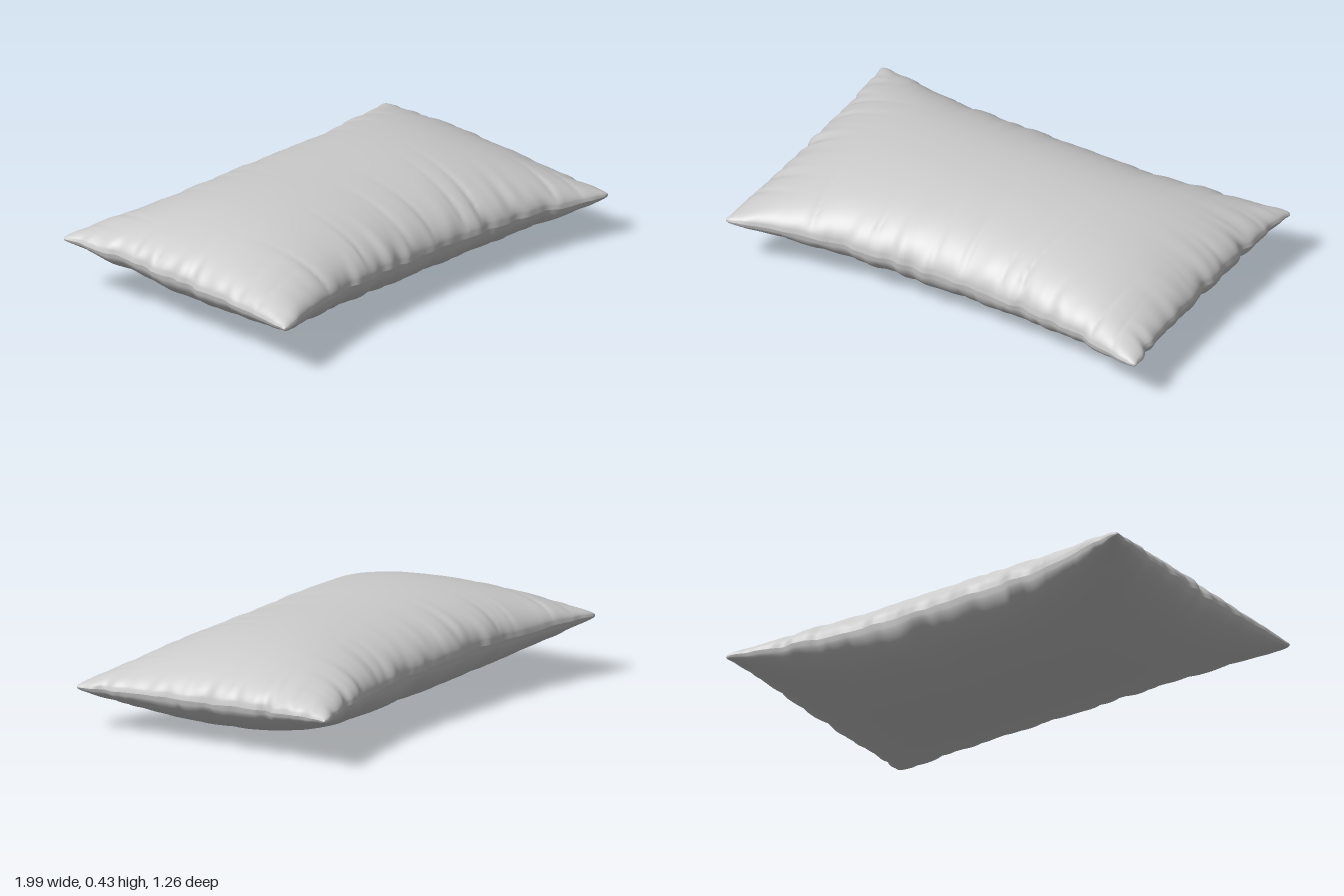
import * as THREE from 'three';

const NX = 190, NZ = 130;

// Seeded smooth 1D noise in [-1, 1]
function hash(i, seed) {
  const s = Math.sin(i * 127.1 + seed * 311.7) * 43758.5453;
  return (s - Math.floor(s)) * 2 - 1;
}
function noise(t, seed) {
  const i = Math.floor(t), f = t - i, k = f * f * (3 - 2 * f);
  return hash(i, seed) * (1 - k) + hash(i + 1, seed) * k;
}

// Gathers that run inward from one edge; d = distance from the edge, t = position along it
function gathers(t, d, seed) {
  const drift = t + 0.2 * d * noise(t * 3, seed + 5);
  const fine = noise(drift * 22, seed) * Math.exp(-d / 0.07);
  const crease = Math.pow(1 - Math.abs(noise(drift * 10, seed + 1)), 4);
  const reach = 0.08 + 0.04 * noise(t * 5, seed + 2);
  return 0.1 * fine + (0.05 - 0.2 * crease) * Math.exp(-d / reach);
}

// Crowd the grid lines toward the edges, where the cloth curves most
const crowd = s => 0.35 * s + 0.65 * Math.sin(s * Math.PI / 2);
const bulge = (u, p, q) => Math.pow(Math.max(0, 1 - Math.pow(Math.abs(u), p)), q);

// One side of the cushion: side = 1 for the top, -1 for the bottom
function clothPoint(u, v, side) {
  const au = Math.abs(u), av = Math.abs(v);
  const su = u < 0 ? 1 : 2, sv = v < 0 ? 3 : 4;

  // Outline: edges bowed inward, corners drawn out and slightly rounded
  const round = 0.03 * Math.pow(au * av, 24);
  let halfX = 0.96 + 0.055 * Math.pow(av, 4) - round;
  let halfZ = 0.513 + 0.143 * Math.pow(au, 2.8) - round;
  // Puckered seam
  halfX += 0.012 * noise(v * 13, su) * Math.pow(au, 8) * (1 - av ** 8);
  halfZ += 0.010 * noise(u * 19, sv) * Math.pow(av, 8) * (1 - au ** 8);
  const x = u * halfX, z = v * halfZ;

  // Stuffing height with gathers along all four edges
  const dx = (1 - au) * halfX, dz = (1 - av) * halfZ;
  const seed = 20 + side * 10;
  const fold = gathers(z, dx, seed + su) * (1 - av ** 6)
    + gathers(x, dz, seed + sv) * (1 - au ** 6);
  const h = 0.213 * bulge(u, 3, 0.53) * bulge(v, 2.1, 0.5) * (1 + fold);

  // The whole cushion rests slightly tilted
  const wave = 0.004 * (noise(x * 9, sv) * av ** 8 + noise(z * 9, su) * au ** 8);
  return [x, 0.211 - 0.02 * x - 0.03 * z + wave + side * h, z];
}

function clothSide(side) {
  const geo = new THREE.PlaneGeometry(2, 2, NX, NZ).rotateX(-Math.PI / 2);
  const pos = geo.attributes.position;
  for (let i = 0; i < pos.count; i++) {
    pos.setXYZ(i, ...clothPoint(crowd(pos.getX(i)), crowd(pos.getZ(i)), side));
  }
  // The bottom faces down, so its triangles are reversed
  if (side < 0) geo.index.array.reverse();
  geo.computeVertexNormals();
  return geo;
}

export function createModel() {
  const group = new THREE.Group();
  group.name = 'pillow';
  const material = new THREE.MeshStandardMaterial({ color: 0xcccccc });
  for (const [name, side] of [['topCloth', 1], ['bottomCloth', -1]]) {
    const mesh = new THREE.Mesh(clothSide(side), material);
    mesh.name = name;
    group.add(mesh);
  }

  // Centre the cushion and set it on the ground
  const box = new THREE.Box3().setFromObject(group);
  const c = box.getCenter(new THREE.Vector3());
  for (const mesh of group.children) mesh.geometry.translate(-c.x, -box.min.y, -c.z);
  return group;
}
